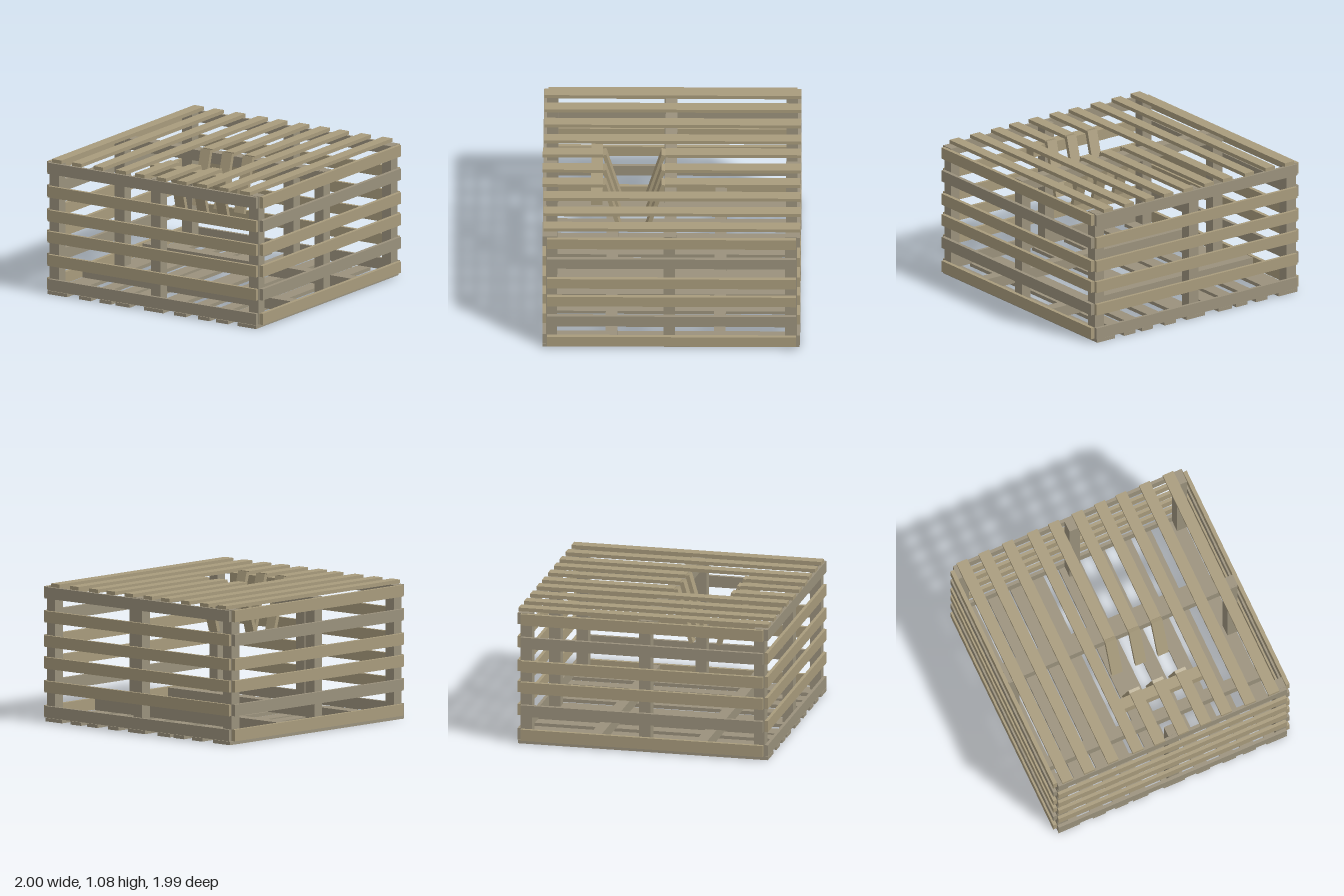
import * as THREE from 'three';

export function createModel() {
  const root = new THREE.Group();
  const tan = new THREE.MeshStandardMaterial({ color: 0xa89b7c, flatShading: true });
  const grey = new THREE.MeshStandardMaterial({ color: 0x9a917c, flatShading: true });

  const group = (name) => {
    const g = new THREE.Group();
    g.name = name;
    root.add(g);
    return g;
  };

  // Plank given by its extents on each axis
  const plank = (parent, name, [x0, x1], [y0, y1], [z0, z1], mat = tan) => {
    const mesh = new THREE.Mesh(new THREE.BoxGeometry(x1 - x0, y1 - y0, z1 - z0), mat);
    mesh.position.set((x0 + x1) / 2, (y0 + y1) / 2, (z0 + z1) / 2);
    mesh.name = name;
    parent.add(mesh);
    return mesh;
  };

  // Upright posts: four corners and the middle of each wall
  const posts = group('posts');
  const low = [-0.97, -0.88], mid = [-0.03, 0.06], high = [0.88, 0.965];
  for (const [x, z] of [[low, low], [low, mid], [low, high], [mid, low],
    [mid, high], [high, low], [high, mid], [high, high]]) {
    plank(posts, 'post', x, [0.03, 1.05], z, grey);
  }

  // Horizontal wall slats
  const walls = group('wallSlats');
  [0.03, 0.225, 0.41, 0.58, 0.77, 0.957].forEach((y, i) => {
    const h = [y, y + 0.09];
    const frontMat = i === 0 || i === 5 ? grey : tan;
    const sideMat = i === 1 || i === 4 ? grey : tan;
    plank(walls, 'frontSlat', [-0.97, 0.96], h, [0.965, 0.99], frontMat);
    plank(walls, 'backSlat', [-0.965, 0.97], h, [-0.995, -0.97], frontMat);
    plank(walls, 'leftSlat', [0.97, 1], h, [-0.965, 0.955], sideMat);
    plank(walls, 'rightSlat', [-1, -0.97], h, [-0.965, 0.955], sideMat);
  });

  // Floor slats of uneven width on two cross bars
  const floor = group('floor');
  for (const x of [[-0.97, -0.79], [-0.68, -0.57], [-0.49, -0.38], [-0.34, -0.21],
    [-0.08, 0.10], [0.20, 0.31], [0.42, 0.53], [0.59, 0.70], [0.79, 0.96]]) {
    plank(floor, 'floorSlat', x, [0, 0.027], [-0.99, 0.99], grey);
  }
  for (const z of [[-0.42, -0.33], [0.415, 0.505]]) {
    plank(floor, 'floorCrossBar', [-0.97, 0.97], [0.027, 0.115], z, grey);
  }

  // Lid bars: one full width, one short in front of the opening
  const lid = group('lid');
  plank(lid, 'lidCrossBar', [-0.97, 0.97], [0.965, 1.052], [-0.04, 0.05], grey);
  plank(lid, 'openingBar', [-0.27, 0.43], [0.965, 1.052], [0.53, 0.62]);

  // Lid slats; the three middle ones are cut for the entry funnel
  const funnel = group('entryFunnel');
  const rampSlat = (x, topZ, bottomZ) => {
    const dy = 0.425, dz = topZ - bottomZ;
    const mesh = new THREE.Mesh(new THREE.BoxGeometry(0.09, Math.hypot(dy, dz), 0.032), tan);
    mesh.position.set(x + 0.045, 1.075 - dy / 2, (topZ + bottomZ) / 2);
    mesh.rotation.x = Math.atan2(dz, dy);
    mesh.name = 'funnelSlat';
    funnel.add(mesh);
  };
  [-0.935, -0.75, -0.55, -0.34, -0.16, 0.04, 0.23, 0.41, 0.61, 0.81].forEach((x, i) => {
    const w = [x, x + 0.09], h = [1.052, 1.08];
    if (i >= 4 && i <= 6) {
      plank(lid, 'lidSlatBack', w, h, [-0.995, 0.05]);
      plank(lid, 'lidSlatFront', w, h, [0.53, 0.995]);
      rampSlat(x, 0.063, 0.187);
      rampSlat(x, 0.52, 0.4);
    } else {
      plank(lid, 'lidSlat', w, h, [-0.995, 0.985]);
    }
  });

  return root;
}
